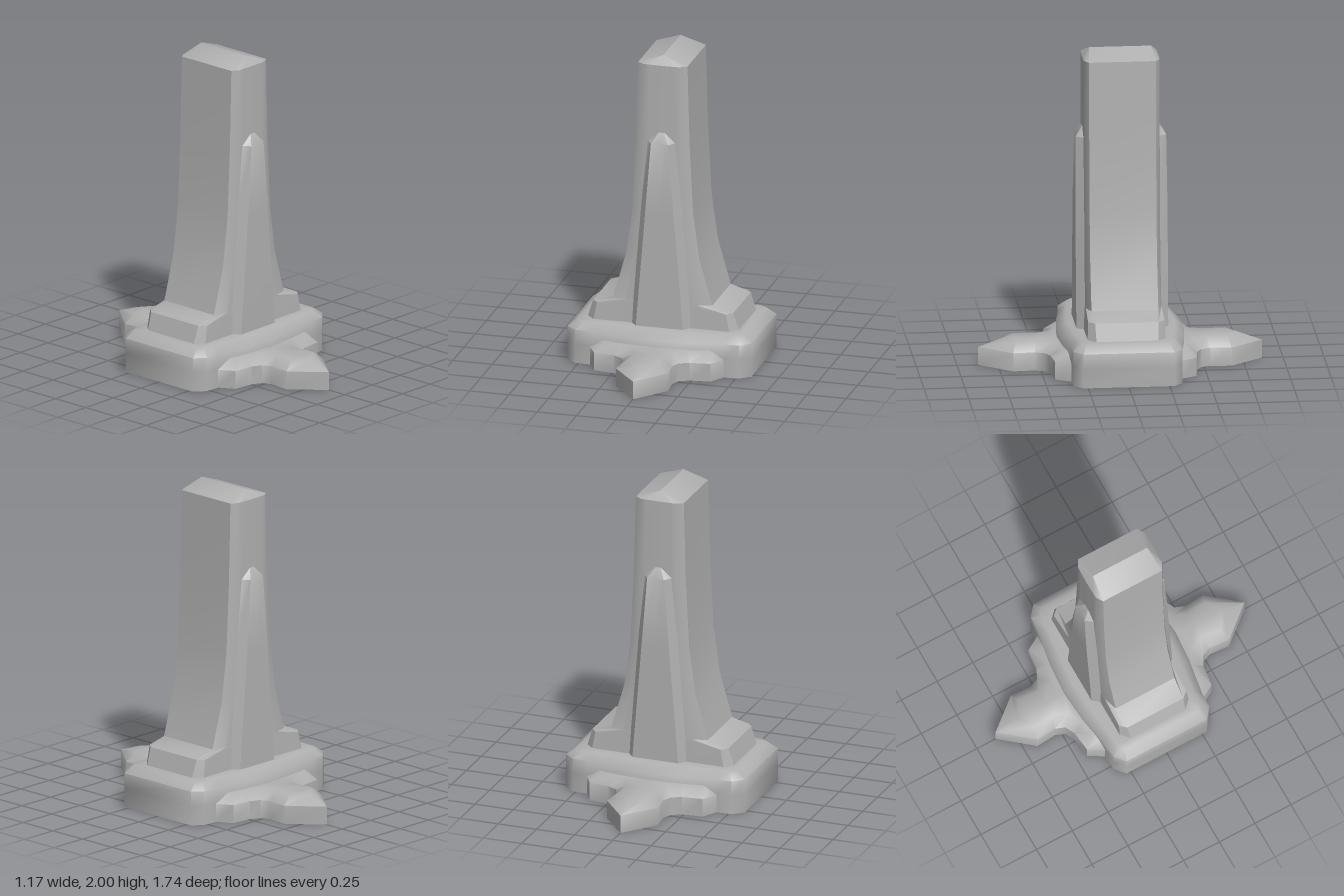
import * as THREE from 'three';
import { toCreasedNormals } from 'three/addons/utils/BufferGeometryUtils.js';

// Joins rows of [x, y, z] points with quads; skip(j, p, q) leaves a quad out
function loft(rows, closed, crease, skip = () => false) {
  const pos = [];
  const n = rows[0].length;
  for (let j = 0; j < rows.length - 1; j++) {
    for (let i = 0; i < (closed ? n : n - 1); i++) {
      const k = (i + 1) % n;
      const a = rows[j][i], b = rows[j][k], c = rows[j + 1][i], d = rows[j + 1][k];
      if (skip(j, a, b)) continue;
      pos.push(...a, ...c, ...b, ...b, ...c, ...d);
    }
  }
  const g = new THREE.BufferGeometry();
  g.setAttribute('position', new THREE.Float32BufferAttribute(pos, 3));
  return toCreasedNormals(g, crease);
}

// Mirrors a half outline that ends on x = 0, from +x round to -x
function mirrorX(y, half) {
  const left = half.slice(0, -1).reverse().map(([x, z]) => [-x, z]);
  return [...half, ...left].map(([x, z]) => [x, y, z]);
}

// Closed ring from one quarter of a plan
function ring(y, quarter) {
  const front = mirrorX(y, quarter);
  return [...front, ...front.map(([x, h, z]) => [-x, h, -z])];
}

export function createModel() {
  const model = new THREE.Group();
  const stone = new THREE.MeshStandardMaterial({ color: 0xb0b0b0, side: THREE.DoubleSide });
  stone.name = 'grey stone';

  const add = (name, geometry, turn = 0) => {
    const mesh = new THREE.Mesh(geometry, stone);
    mesh.name = name;
    mesh.rotation.y = turn;
    model.add(mesh);
  };

  // Plinth: bowed front and back, rounded shoulder, open underneath
  const plan = [[0.585, 0.28], [0.52, 0.335], [0.42, 0.34], [0.2, 0.375], [0, 0.39]];
  const shoulder = [[0.525, 0.255], [0.48, 0.285], [0.4, 0.29], [0.2, 0.315], [0, 0.33]];
  const foot = [[0.48, 0.19], [0.43, 0.24], [0.3, 0.24], [0.15, 0.24], [0, 0.24]];
  const underSpur = (j, p, q) => j === 0 && Math.abs(p[0]) < 0.43 && Math.abs(q[0]) < 0.43;
  add('plinth', loft([
    ring(0, plan), ring(0.12, plan), ring(0.215, plan), ring(0.26, shoulder), ring(0.262, foot),
  ], true, 0.97, underSpur));

  // Tower: stepped foot, flared shaft, gabled top
  const shaft = (hx) => [[hx, 0.205], [hx * 0.72, 0.232], [hx * 0.48, 0.233], [hx * 0.24, 0.234], [0, 0.235]];
  const step = [[0.445, 0.195], [0.41, 0.235], [0.3, 0.235], [0.15, 0.235], [0, 0.235]];
  const levels = [[0.41, 0.315], [0.7, 0.232], [1.0, 0.192], [1.45, 0.17], [1.945, 0.157]];
  const ridge = foot.map(() => [0, 0.19]);
  add('tower', loft([
    ring(0.262, foot), ring(0.37, step),
    ...levels.map(([y, hx]) => ring(y, shaft(hx))),
    ring(2, ridge),
  ], true, 0.62));

  // Ground spurs and tapering buttresses, front and back
  const edge = [[0.43, 0.33], [0.37, 0.435], [0.24, 0.45], [0.18, 0.48], [0.155, 0.54], [0.165, 0.67], [0, 0.87]];
  const inset = [[0.36, 0.33], [0.32, 0.37], [0.21, 0.385], [0.12, 0.43], [0.09, 0.52], [0.1, 0.65], [0, 0.72]];
  const spine = inset.map(([, z]) => [0, z]);
  const spur = loft([
    mirrorX(0, edge), mirrorX(0.115, edge), mirrorX(0.17, inset), mirrorX(0.17, spine),
  ], false, 0.9);

  const rib = (y, root, face, z) => mirrorX(y, [[root, 0.222], [face, z], [0, z]]);
  const buttress = loft([
    rib(0.26, 0.2, 0.15, 0.282), rib(1.0, 0.14, 0.09, 0.283),
    rib(1.45, 0.095, 0.055, 0.278), rib(1.52, 0.02, 0.01, 0.228),
  ], false, 0.62);

  [['front', 0], ['back', Math.PI]].forEach(([side, turn]) => {
    add(side + 'Spur', spur, turn);
    add(side + 'Buttress', buttress, turn);
  });

  return model;
}
